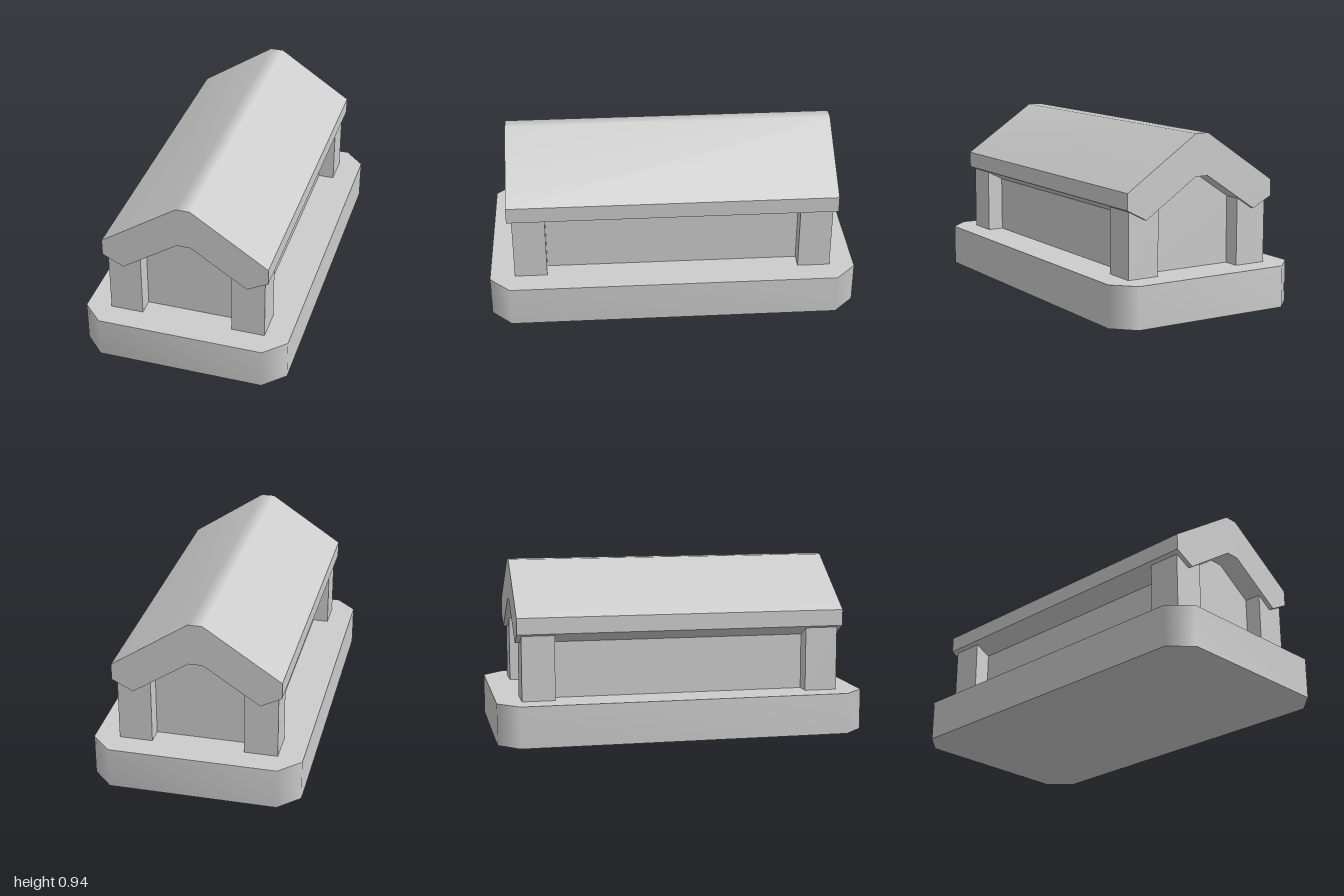
import * as THREE from 'three';

// Soft normals, weighted by face area, across edges bent by less than 50 degrees
function soften(geo) {
  const g = geo.index ? geo.toNonIndexed() : geo;
  const pos = g.attributes.position;
  const points = [], faces = [];
  for (let i = 0; i < pos.count; i++) points.push(new THREE.Vector3().fromBufferAttribute(pos, i));
  for (let i = 0; i < pos.count; i += 3) {
    const ab = points[i + 1].clone().sub(points[i]);
    const ac = points[i + 2].clone().sub(points[i]);
    faces.push(ab.cross(ac));
  }
  const limit = THREE.MathUtils.degToRad(50);
  points.forEach((p, i) => {
    const own = faces[Math.floor(i / 3)];
    const n = new THREE.Vector3();
    points.forEach((q, j) => {
      const face = faces[Math.floor(j / 3)];
      if (p.distanceToSquared(q) < 1e-8 && own.angleTo(face) < limit) n.add(face);
    });
    n.normalize();
    g.attributes.normal.setXYZ(i, n.x, n.y, n.z);
  });
  return g;
}

// Extrudes an outline along z, centred on z = 0
function prism(outline, depth) {
  const shape = new THREE.Shape(outline.map(([x, y]) => new THREE.Vector2(x, y)));
  const geo = new THREE.ExtrudeGeometry(shape, { depth, bevelEnabled: false });
  geo.translate(0, 0, -depth / 2);
  return soften(geo);
}

// Completes a symmetric outline from its right half
const mirrored = (half) => [...half, ...half.map(([x, y]) => [-x, y]).reverse()];

export function createModel() {
  const group = new THREE.Group();
  const stone = new THREE.MeshStandardMaterial({ color: 0xcccccc });
  stone.name = 'pale grey stone';

  const add = (name, geo) => {
    const mesh = new THREE.Mesh(geo, stone);
    mesh.name = name;
    group.add(mesh);
    return mesh;
  };

  // Plinth with cut corners
  const baseHeight = 0.222;
  const plinth = prism(mirrored([[0.445, -1], [0.555, -0.89], [0.555, 0.89], [0.445, 1]]), baseHeight);
  plinth.rotateX(-Math.PI / 2).translate(0, baseHeight / 2, 0);
  add('plinth', plinth);

  // Gabled body, its top tucked into the roof
  add('body', prism(mirrored([[0.335, baseHeight], [0.335, 0.6], [0.035, 0.78]]), 1.55));

  // Corner posts
  const postTop = 0.6;
  for (const sx of [-1, 1]) {
    for (const sz of [-1, 1]) {
      const post = add(
        (sz > 0 ? 'front' : 'back') + (sx > 0 ? 'Left' : 'Right') + 'Post',
        new THREE.BoxGeometry(0.177, postTop - baseHeight, 0.177)
      );
      post.position.set(sx * 0.334, (postTop + baseHeight) / 2, sz * 0.777);
    }
  }

  // Thick pitched roof with a blunt ridge and pointed eaves
  add('roof', prism(mirrored([
    [0.037, 0.718], [0.333, 0.522], [0.444, 0.58], [0.444, 0.667], [0.037, 0.938],
  ].reverse()).reverse(), 1.78));

  return group;
}
